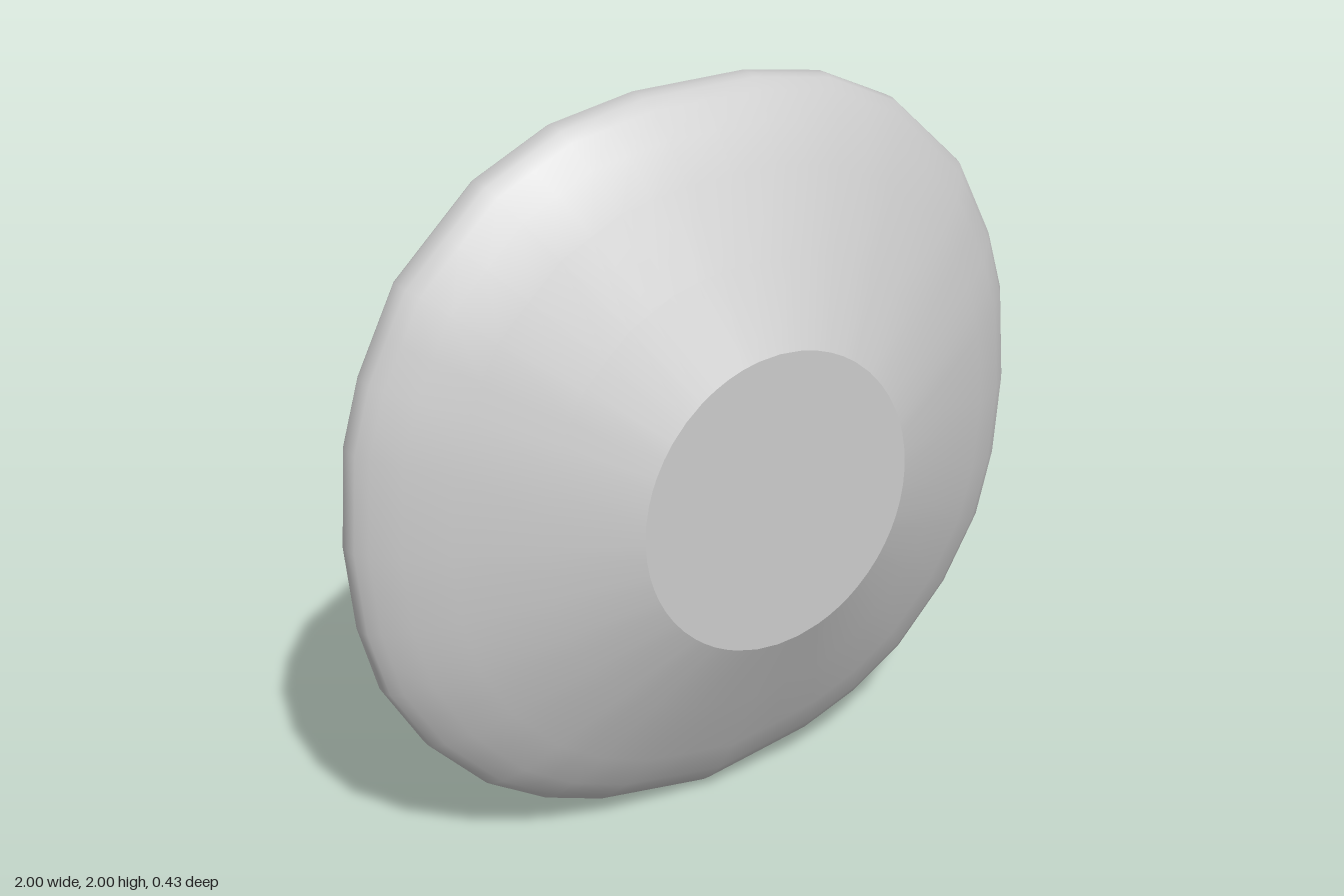
import * as THREE from 'three';

const CENTRE_Y = 1.015, FRONT_Z = 0.213, BACK_Z = -0.213;

// Right half of the rim outline, from the top down to the bottom tip
const HALF_RIM = [
  [0.16, 2], [0.39, 1.96], [0.6, 1.86], [0.82, 1.65], [0.93, 1.43], [0.98, 1.26], [1, 1],
  [0.98, 0.77], [0.93, 0.58], [0.82, 0.39], [0.66, 0.22], [0.5, 0.12], [0.33, 0.055], [0, 0],
];

// Section from the front disc (t = 0) to the rim (t = 1), as [t, z]
const SECTION = [
  [0, FRONT_Z], [0.35, 0.104], [0.68, 0], [0.85, -0.06], [0.95, -0.115],
  [0.99, -0.145], [1, -0.165], [1, -0.195], [0.985, BACK_Z],
];

// Closed counter-clockwise rim, each edge split in two
function rimPoints() {
  const mirrored = HALF_RIM.slice(0, -1).map(([x, y]) => [-x, y]);
  const loop = [...HALF_RIM].reverse().concat(mirrored);
  return loop.flatMap(([x, y], i) => {
    const [nx, ny] = loop[(i + 1) % loop.length];
    return [new THREE.Vector2(x, y), new THREE.Vector2((x + nx) / 2, (y + ny) / 2)];
  });
}

// Oval edge of the front disc, lined up with a rim point
function innerPoint(p) {
  const a = Math.atan2(p.y - CENTRE_Y, p.x);
  return new THREE.Vector2(0.39 * Math.cos(a), CENTRE_Y + 0.405 * Math.sin(a));
}

function ringAt(rim, t, z) {
  return rim.map((p) => {
    const q = innerPoint(p).lerp(p, t);
    // The back edge is cut flat above the bottom tip
    if (z === BACK_Z) q.y = Math.max(q.y, 0.045);
    return new THREE.Vector3(q.x, q.y, z);
  });
}

function build(points, index) {
  const g = new THREE.BufferGeometry().setFromPoints(points);
  g.setIndex(index);
  g.computeVertexNormals();
  return g;
}

// Smooth skin through the rings, front to back
function loft(rings) {
  const n = rings[0].length, index = [];
  for (let r = 0; r < rings.length - 1; r++) {
    for (let i = 0; i < n; i++) {
      const a = r * n + i, b = r * n + (i + 1) % n;
      index.push(a, a + n, b, b, a + n, b + n);
    }
  }
  return build(rings.flat(), index);
}

// Flat fan closing a ring
function cap(ring, facesBack) {
  const n = ring.length, index = [];
  for (let i = 0; i < n; i++) {
    const j = (i + 1) % n;
    index.push(n, facesBack ? j : i, facesBack ? i : j);
  }
  return build([...ring, new THREE.Vector3(0, CENTRE_Y, ring[0].z)], index);
}

export function createModel() {
  const group = new THREE.Group();
  group.name = 'roundedDish';
  const material = new THREE.MeshStandardMaterial({ color: 0xcccccc });
  const add = (name, geometry) => {
    const mesh = new THREE.Mesh(geometry, material);
    mesh.name = name;
    group.add(mesh);
  };

  const rim = rimPoints();
  const rings = SECTION.map(([t, z]) => ringAt(rim, t, z));
  add('slopedBody', loft(rings));
  add('frontDisc', cap(rings[0], false));
  add('backPlate', cap(rings[rings.length - 1], true));
  return group;
}
